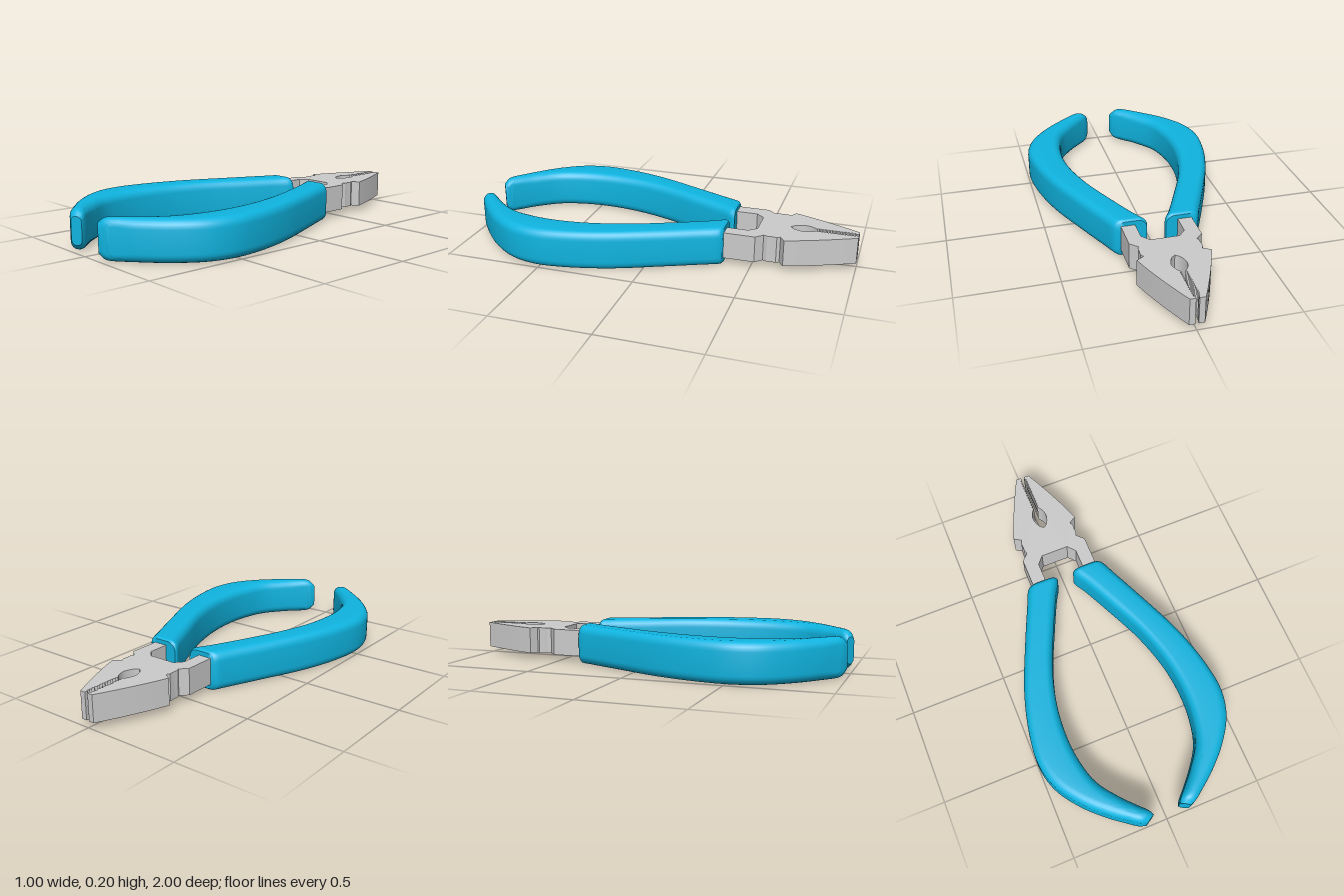
import * as THREE from 'three';
import { toCreasedNormals } from 'three/addons/utils/BufferGeometryUtils.js';

const steel = new THREE.MeshStandardMaterial({ color: 0xcccccc });
const grip = new THREE.MeshStandardMaterial({ color: 0x0fb4e0 });

// Right half of the head, from the jaw throat round to the middle of the crotch: [x, z]
function headHalf() {
  const pts = [];
  // teardrop hole between the jaws
  const hole = new THREE.SplineCurve([
    [0, -0.665], [0.022, -0.685], [0.037, -0.73], [0.028, -0.77], [0.01, -0.795],
  ].map(p => new THREE.Vector2(...p)));
  hole.getPoints(14).forEach(p => pts.push([p.x, p.y]));
  // toothed gripping edge
  const teeth = 11;
  for (let i = 0; i < teeth; i++) {
    const z = -0.8 - i * 0.016;
    pts.push([0.018, z - 0.004], [0.01, z - 0.012]);
  }
  pts.push([0.016, -0.98], [0.008, -0.985], [0.008, -1], [0.036, -1]);
  // curved outer side of the jaw
  const side = new THREE.QuadraticBezierCurve(
    new THREE.Vector2(0.036, -1), new THREE.Vector2(0.125, -0.82), new THREE.Vector2(0.178, -0.662));
  side.getPoints(10).slice(1).forEach(p => pts.push([p.x, p.y]));
  // notches, then the stem
  pts.push([0.14, -0.638], [0.15, -0.622], [0.148, -0.59], [0.15, -0.575], [0.142, -0.555],
    [0.178, -0.52], [0.178, -0.3], [0.107, -0.3], [0.107, -0.47], [0.072, -0.51]);
  return pts;
}

function headGeometry() {
  const half = headHalf();
  const left = half.slice(1).reverse().map(([x, z]) => [-x, z]);
  const shape = new THREE.Shape([...half, ...left].map(p => new THREE.Vector2(...p)));
  const geo = new THREE.ExtrudeGeometry(shape, { depth: 0.136, bevelEnabled: false });
  geo.rotateX(Math.PI / 2).translate(0, 0.17, 0);
  return toCreasedNormals(geo, 0.45);
}

// Handle stations: outer x, outer z, inner x, inner z, half height
const stations = [
  [0.203, -0.363, 0.048, -0.363, 0.092],
  [0.215, -0.35, 0.045, -0.35, 0.1],
  [0.25, -0.27, 0.083, -0.28, 0.1],
  [0.325, -0.1, 0.158, -0.12, 0.1],
  [0.43, 0.16, 0.245, 0.08, 0.1],
  [0.484, 0.37, 0.3, 0.28, 0.1],
  [0.498, 0.53, 0.316, 0.45, 0.1],
  [0.466, 0.66, 0.305, 0.59, 0.1],
  [0.378, 0.79, 0.268, 0.72, 0.1],
  [0.27, 0.894, 0.19, 0.83, 0.1],
  [0.2, 0.947, 0.127, 0.9, 0.1],
  [0.15, 0.983, 0.084, 0.945, 0.094],
  [0.115, 0.998, 0.069, 0.97, 0.068],
];

// Rounded rectangle in the plane across the handle, counter-clockwise
function ring(o, n, h, s) {
  const w = Math.hypot(o.x - n.x, o.z - n.z);
  const r = Math.min(0.045, w * 0.46, h * 0.9);
  const out = [];
  for (let c = 0; c < 4; c++) {
    const ca = (c === 0 || c === 3 ? 1 : -1) * (w / 2 - r);
    const cb = (c < 2 ? 1 : -1) * (h - r);
    for (let k = 0; k <= 6; k++) {
      const t = (c + k / 6) * Math.PI / 2;
      const f = (ca + r * Math.cos(t)) / w + 0.5;
      out.push([s * (n.x + (o.x - n.x) * f), 0.1 + cb + r * Math.sin(t), n.z + (o.z - n.z) * f]);
    }
  }
  return out;
}

function handleGeometry(s) {
  const outer = new THREE.CatmullRomCurve3(stations.map(p => new THREE.Vector3(p[0], p[4], p[1])));
  const inner = new THREE.CatmullRomCurve3(stations.map(p => new THREE.Vector3(p[2], p[4], p[3])));
  const steps = (stations.length - 1) * 5;
  const rings = [];
  for (let i = 0; i <= steps; i++) {
    const o = outer.getPoint(i / steps), n = inner.getPoint(i / steps);
    rings.push(ring(o, n, Math.min(o.y, 0.1), s));
  }
  const pos = [];
  const tri = (a, b, c) => (s > 0 ? pos.push(...a, ...b, ...c) : pos.push(...a, ...c, ...b));
  const count = rings[0].length;
  const mid = R => [0, 1, 2].map(k => R.reduce((sum, p) => sum + p[k], 0) / count);
  const first = rings[0], last = rings[steps], m0 = mid(first), m1 = mid(last);
  for (let j = 0; j < count; j++) {
    const k = (j + 1) % count;
    for (let i = 0; i < steps; i++) {
      const A = rings[i], B = rings[i + 1];
      tri(A[j], A[k], B[k]);
      tri(A[j], B[k], B[j]);
    }
    tri(m0, first[k], first[j]);
    tri(m1, last[j], last[k]);
  }
  const geo = new THREE.BufferGeometry();
  geo.setAttribute('position', new THREE.Float32BufferAttribute(pos, 3));
  return toCreasedNormals(geo, 0.75);
}

export function createModel() {
  const group = new THREE.Group();
  group.name = 'pliers';
  const add = (name, geo, mat) => {
    const mesh = new THREE.Mesh(geo, mat);
    mesh.name = name;
    group.add(mesh);
  };
  add('jawHead', headGeometry(), steel);
  add('leftHandle', handleGeometry(1), grip);
  add('rightHandle', handleGeometry(-1), grip);
  return group;
}
